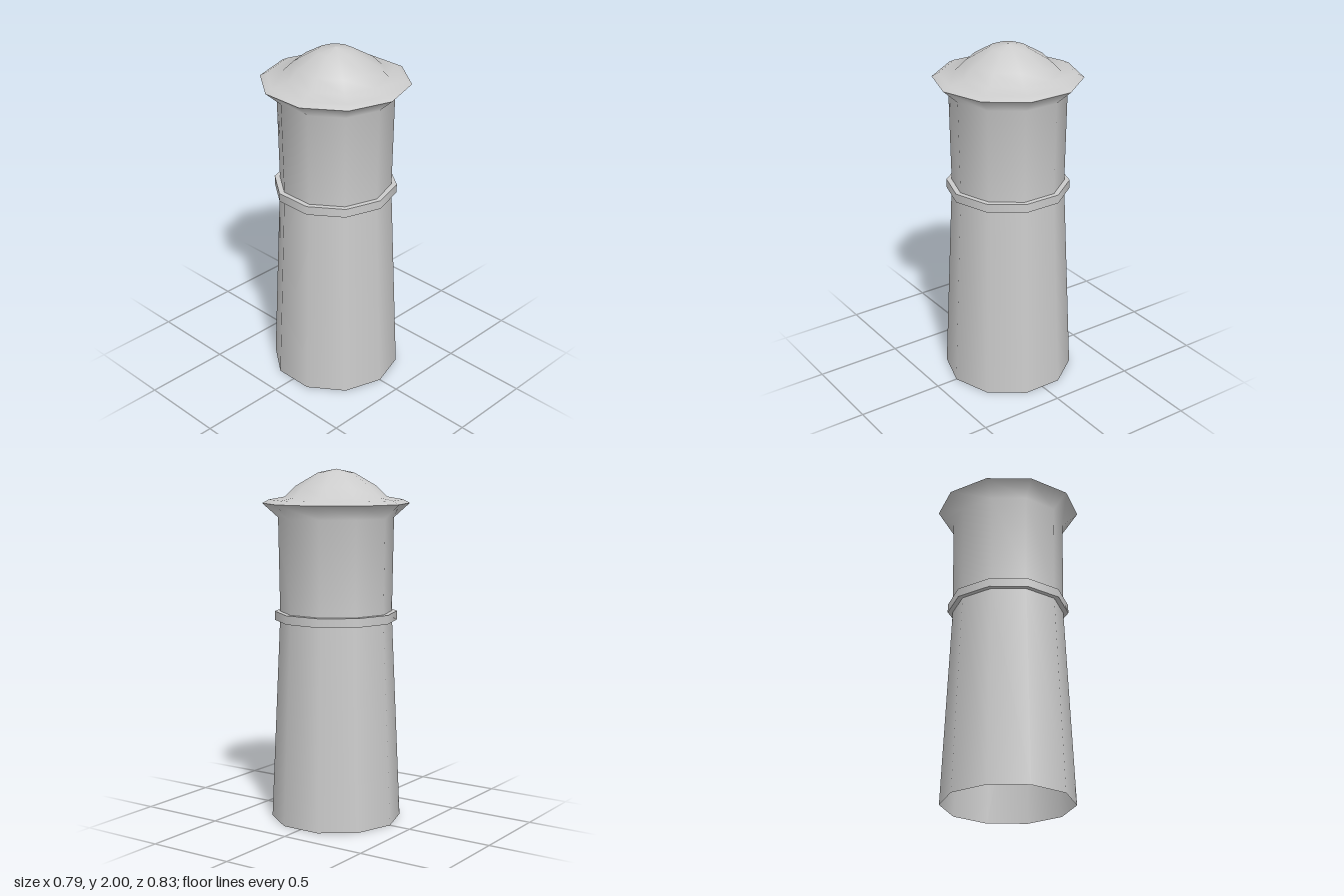
import * as THREE from 'three';

const SIDES = 10;

export function createModel() {
  const model = new THREE.Group();
  model.name = 'chimneyPot';
  const material = new THREE.MeshStandardMaterial({ color: 0xcccccc, side: THREE.DoubleSide });

  // Ten-sided turned part from [radius, height] pairs, smooth within each part
  const turn = (name, profile) => {
    const points = profile.map(([r, y]) => new THREE.Vector2(r, y));
    const mesh = new THREE.Mesh(new THREE.LatheGeometry(points, SIDES), material);
    mesh.name = name;
    model.add(mesh);
  };

  // Tapered shaft, open at the base
  turn('lowerShaft', [[0.371, 0], [0.319, 1.15]]);

  // Collar: separate faces keep its edges sharp
  turn('collarUnderside', [[0.319, 1.15], [0.348, 1.15]]);
  turn('collarBand', [[0.348, 1.15], [0.348, 1.2]]);
  turn('collarTop', [[0.348, 1.2], [0.318, 1.2]]);

  // Upper shaft flaring out into the eaves
  turn('upperShaft', [[0.318, 1.15], [0.318, 1.2], [0.326, 1.73], [0.415, 1.81]]);

  // Bell-shaped cap with a sharp rim
  turn('cap', [[0.415, 1.81], [0.377, 1.83], [0.288, 1.846], [0.228, 1.905], [0.1, 1.98], [0, 2]]);

  return model;
}
